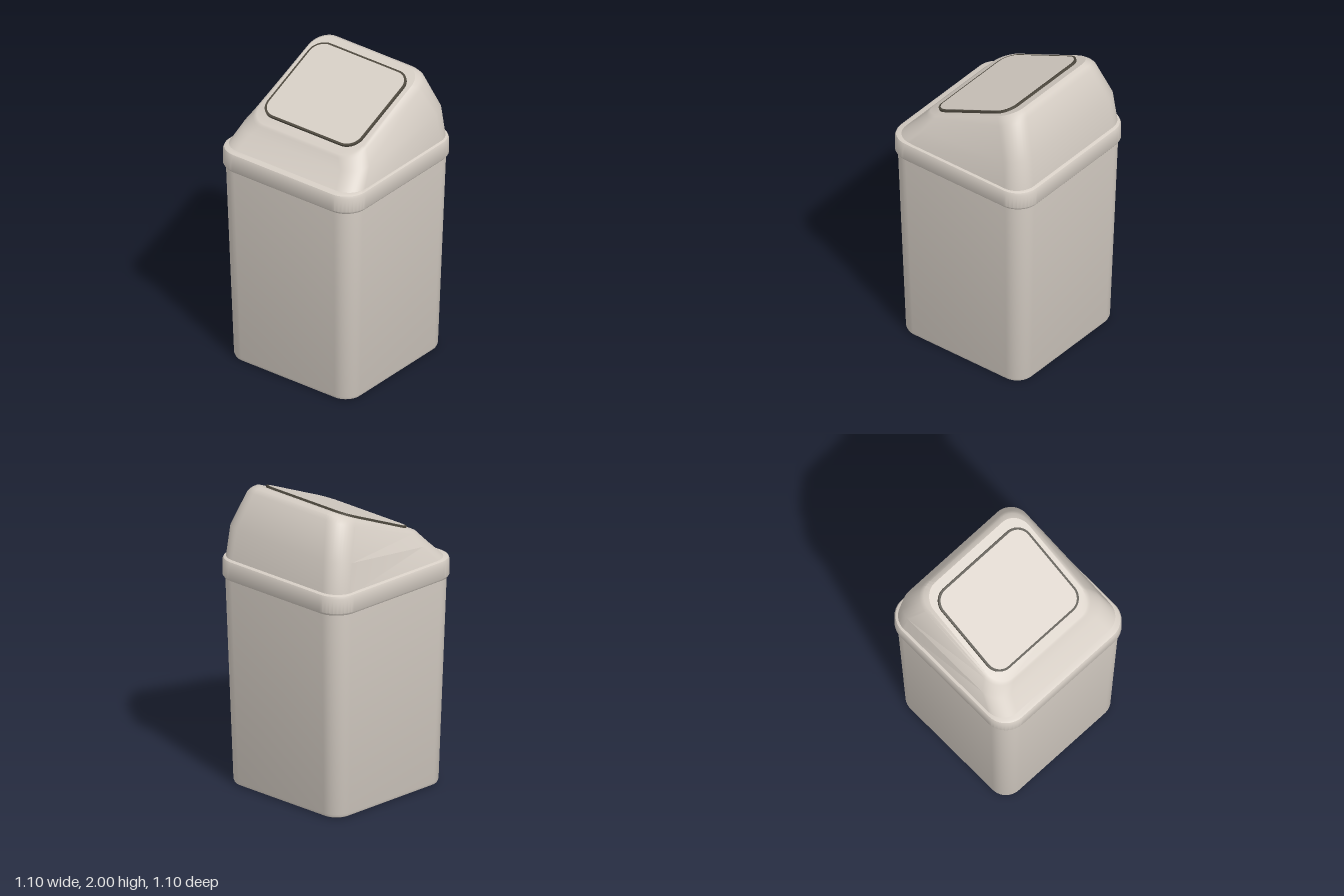
import * as THREE from 'three';
import { toCreasedNormals } from 'three/addons/utils/BufferGeometryUtils.js';

const CORNER = 10; // segments per rounded corner

// Rounded rectangle in 3D: zb/zf back and front z, yb/yf and wb/wf the height and half width there
function ring({ zb, zf, yb, yf = yb, wb, wf = wb, r }) {
  const points = [];
  const mid = (zb + zf) / 2, depth = (zf - zb) / 2, width = (wb + wf) / 2;
  for (let q = 0; q < 4; q++) {
    const sx = q === 0 || q === 3 ? 1 : -1, sz = q < 2 ? 1 : -1;
    for (let k = 0; k <= CORNER; k++) {
      const a = (q + k / CORNER) * Math.PI / 2;
      const z = mid + sz * (depth - r) + r * Math.sin(a);
      const t = (z - zb) / (zf - zb);
      const x = (sx * (width - r) + r * Math.cos(a)) * (wb + (wf - wb) * t) / width;
      points.push([x, yb + (yf - yb) * t, z]);
    }
  }
  return points;
}

const square = (y, half, r) => ({ zb: -half, zf: half, yb: y, wb: half, r });

// Skin through a stack of rings, closed at both ends
function loft(sections, crease = 0.6) {
  const rings = sections.map(ring);
  const n = rings[0].length, position = rings.flat(2), index = [];
  for (let i = 0; i < rings.length - 1; i++) {
    for (let j = 0; j < n; j++) {
      const a = i * n + j, b = i * n + (j + 1) % n;
      index.push(a, a + n, b, b, a + n, b + n);
    }
  }
  const last = (rings.length - 1) * n;
  for (let j = 1; j < n - 1; j++) {
    index.push(0, j, j + 1, last, last + j + 1, last + j);
  }
  const geometry = new THREE.BufferGeometry();
  geometry.setAttribute('position', new THREE.Float32BufferAttribute(position, 3));
  geometry.setIndex(index);
  return toCreasedNormals(geometry, crease);
}

// Flat plate with rounded corners
function plate(w, h, r, depth) {
  const s = new THREE.Shape();
  s.moveTo(w, h - r);
  s.absarc(w - r, h - r, r, 0, Math.PI / 2);
  s.absarc(-w + r, h - r, r, Math.PI / 2, Math.PI);
  s.absarc(-w + r, -h + r, r, Math.PI, Math.PI * 1.5);
  s.absarc(w - r, -h + r, r, Math.PI * 1.5, Math.PI * 2);
  return new THREE.ExtrudeGeometry(s, { depth, bevelEnabled: false, curveSegments: 12 });
}

export function createModel() {
  const plastic = new THREE.MeshStandardMaterial({ color: 0xd6cec5 });
  plastic.name = 'warm grey plastic';
  const dark = new THREE.MeshStandardMaterial({ color: 0x4e493f });
  dark.name = 'dark gap';

  const model = new THREE.Group();
  model.name = 'swingTopBin';
  const add = (name, geometry, material, parent = model) => {
    const mesh = new THREE.Mesh(geometry, material);
    mesh.name = name;
    parent.add(mesh);
  };

  // Tapered body with a softened foot
  add('body', loft([
    square(0, 0.472, 0.1), square(0.006, 0.482, 0.11),
    square(0.025, 0.489, 0.115), square(1.4, 0.53, 0.13),
  ]), plastic);

  // Collar with rounded edges
  add('rim', loft([
    square(1.385, 0.525, 0.13), square(1.39, 0.54, 0.145), square(1.405, 0.55, 0.155),
    square(1.5, 0.55, 0.155), square(1.517, 0.543, 0.148), square(1.525, 0.528, 0.135),
  ]), plastic);

  // Hood rising from the rim to a sloping top
  add('hood', loft([
    { zb: -0.525, zf: 0.512, yb: 1.515, wb: 0.53, r: 0.13 },
    { zb: -0.5, zf: 0.41, yb: 1.73, yf: 1.62, wb: 0.517, wf: 0.485, r: 0.13 },
    { zb: -0.413, zf: 0.373, yb: 1.962, yf: 1.672, wb: 0.452, wf: 0.435, r: 0.13 },
    { zb: -0.39, zf: 0.366, yb: 1.988, yf: 1.683, wb: 0.432, wf: 0.425, r: 0.125 },
    { zb: -0.358, zf: 0.358, yb: 2.0, yf: 1.69, wb: 0.412, r: 0.12 },
  ], 0.5), plastic);

  // Flap lying on the slope, framed by a dark gap
  const flap = new THREE.Group();
  flap.name = 'flap';
  flap.position.y = 1.845;
  flap.rotation.x = Math.atan2(0.31, 0.716) - Math.PI / 2;
  model.add(flap);
  add('flapGap', plate(0.38, 0.328, 0.105, 0.014), dark, flap);
  const panel = plate(0.366, 0.314, 0.092, 0.004);
  panel.translate(0, 0, 0.012);
  add('flapPanel', panel, plastic, flap);

  return model;
}
